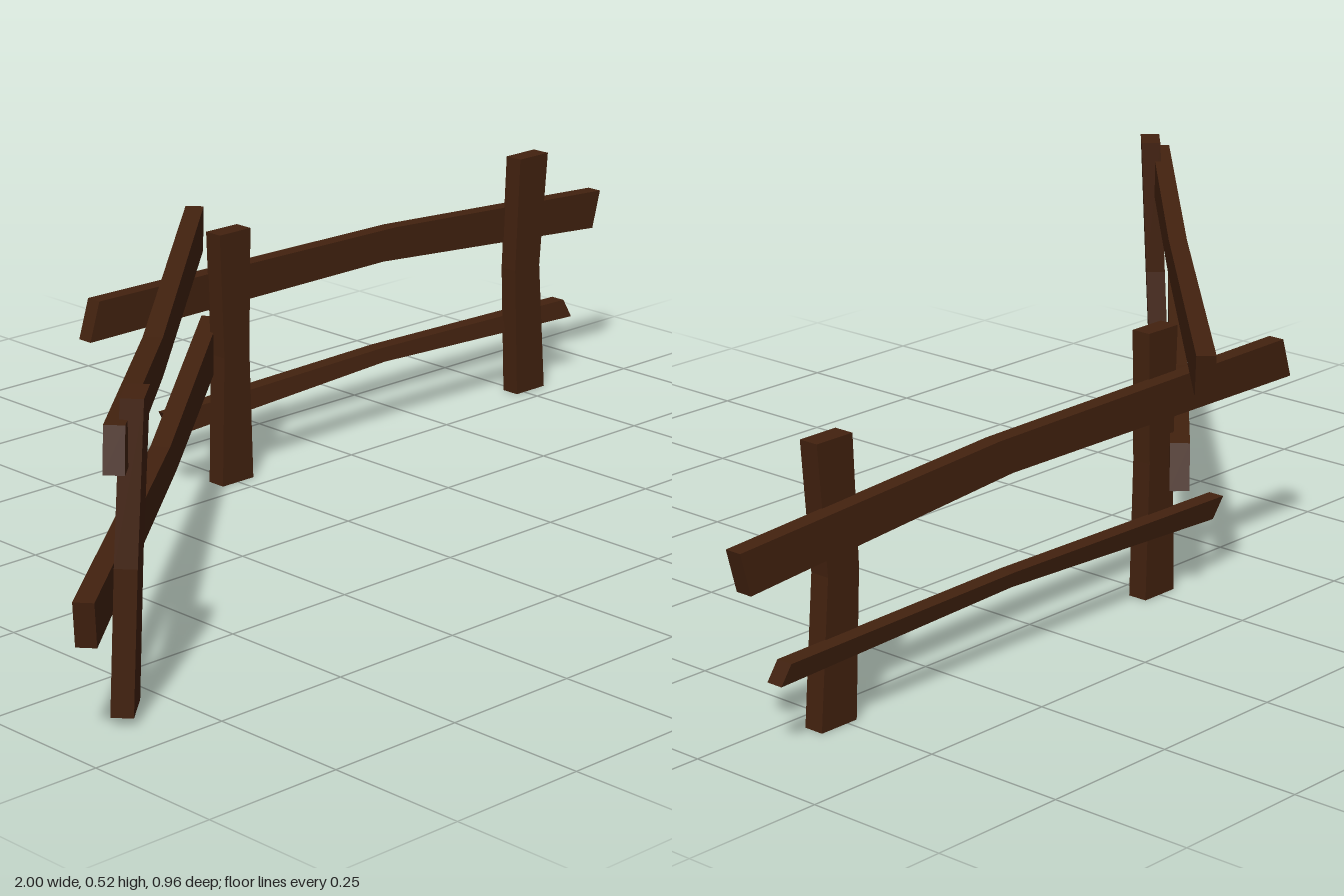
import * as THREE from 'three';

// Flat timber: an outline in its own x-y plane, given a thickness, a lean and a heading.
function timber(name, material, outline, { thickness, x, z, heading = 0, lean = 0 }) {
  const shape = new THREE.Shape(outline.map(([px, py]) => new THREE.Vector2(px, py)));
  const geometry = new THREE.ExtrudeGeometry(shape, { depth: thickness, bevelEnabled: false });
  geometry.translate(0, 0, -thickness / 2);
  const p = geometry.attributes.position;
  for (let i = 0; i < p.count; i++) p.setZ(i, p.getZ(i) + lean * p.getY(i));
  geometry.computeVertexNormals();
  const mesh = new THREE.Mesh(geometry, material);
  mesh.name = name;
  mesh.position.set(x, 0, z);
  mesh.rotation.y = heading;
  return mesh;
}

// Post outline from three levels of [left, right, height], bottom to top.
function postOutline(levels) {
  const left = levels.map(([l, , y]) => [l, y]);
  const right = levels.map(([, r, y]) => [r, y]);
  return [...right, ...left.reverse()];
}

export function createModel() {
  const fence = new THREE.Group();
  fence.name = 'brokenFence';
  const wood = new THREE.MeshStandardMaterial({ color: 0x43220f });
  wood.name = 'darkWood';

  // Posts, each slightly crooked halfway up
  fence.add(
    timber('leftPost', wood,
      postOutline([[-0.037, 0.037, 0.015], [-0.048, 0.02, 0.26], [-0.035, 0.037, 0.523]]),
      { thickness: 0.036, x: -0.847, z: 0.388, heading: 0.73, lean: 0.047 }),
    timber('middlePost', wood,
      postOutline([[-0.037, 0.037, 0], [-0.03, 0.03, 0.24], [-0.038, 0.035, 0.468]]),
      { thickness: 0.036, x: 0, z: -0.303 }),
    timber('rightPost', wood,
      postOutline([[-0.037, 0.039, 0], [-0.047, 0.02, 0.25], [-0.037, 0.039, 0.468]]),
      { thickness: 0.036, x: 0.767, z: -0.303 }),
  );

  // Rails of the angled left section
  fence.add(
    timber('leftUpperRail', wood,
      [[0, 0.42], [0.567, 0.39], [1.31, 0.39], [1.333, 0.467], [0.575, 0.454], [0.015, 0.493]],
      { thickness: 0.033, x: -0.908, z: 0.446, heading: Math.atan2(0.912, 0.972) }),
    timber('leftLowerRail', wood,
      [[0.015, 0.172], [0.79, 0.178], [1.335, 0.21], [1.318, 0.288], [0.73, 0.241], [0, 0.249]],
      { thickness: 0.033, x: -0.99, z: 0.468, heading: Math.atan2(0.857, 1.024) }),
  );

  // Rails of the straight right section
  fence.add(
    timber('rightUpperRail', wood,
      [[-0.31, 0.322], [0.4, 0.326], [0.975, 0.28], [0.995, 0.352], [0.43, 0.386], [-0.288, 0.392]],
      { thickness: 0.03, x: 0, z: -0.334 }),
    timber('rightLowerRail', wood,
      [[-0.115, 0.11], [0.4, 0.132], [0.91, 0.114], [0.895, 0.149], [0.4, 0.158], [-0.132, 0.149]],
      { thickness: 0.03, x: 0, z: -0.304, lean: -0.2 }),
  );

  return fence;
}
